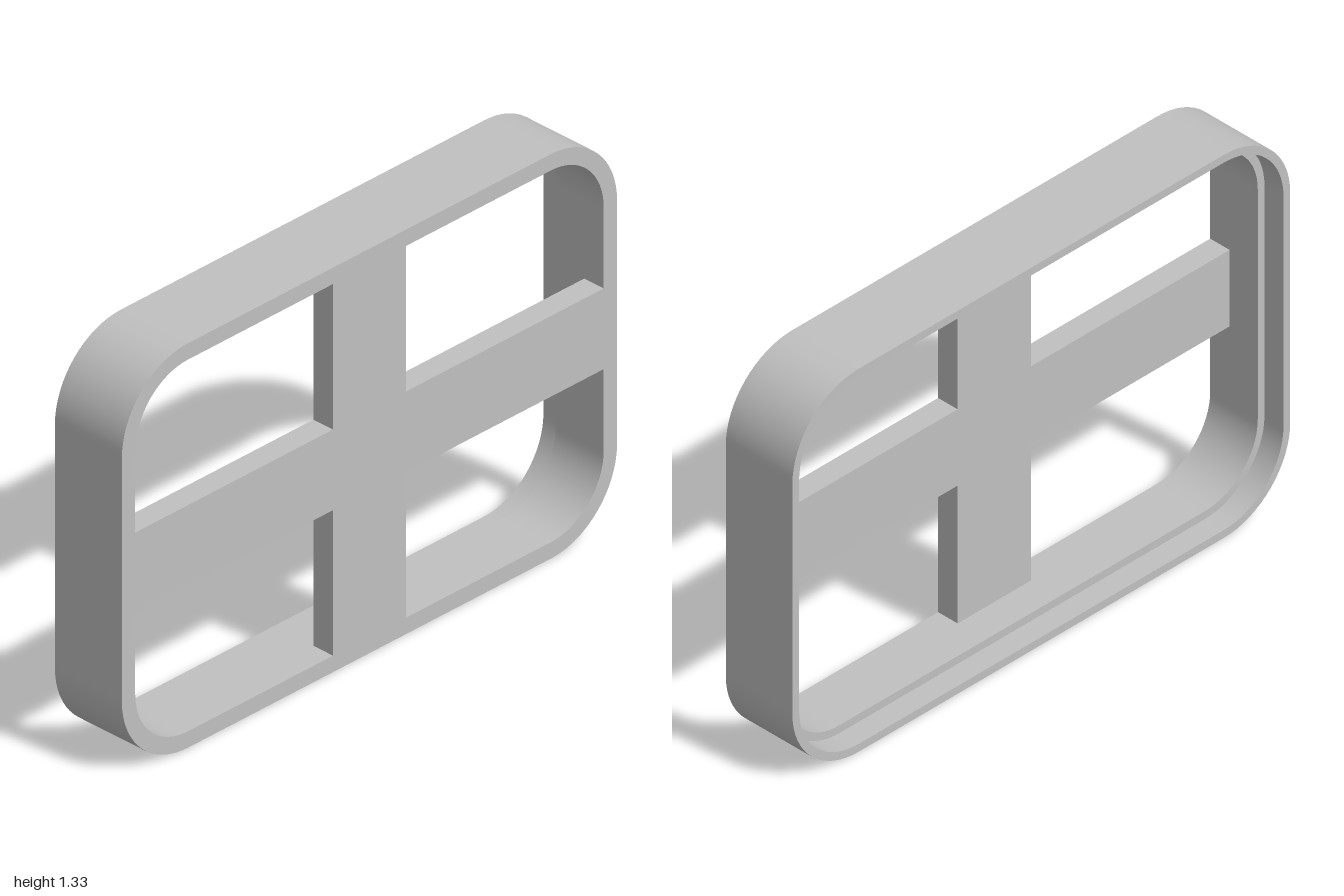
import * as THREE from 'three';

const DEPTH = 0.133;          // half depth along x
const MID = 0.667;            // centre height
const CZ = 0.733, CY = 0.4;   // corner arc centres, measured from the middle
const R_OUT = 0.267, R_LIP = 0.24, R_IN = 0.213;

// Sweeps a closed (x, radius) profile around a rounded rectangle
function sweepRim(profile, steps = 16) {
  const path = [];
  [[1, 1], [-1, 1], [-1, -1], [1, -1]].forEach(([sz, sy], q) => {
    for (let i = 0; i <= steps; i++) {
      const a = (q + i / steps) * Math.PI / 2;
      path.push({ z: sz * CZ, y: MID + sy * CY, c: Math.cos(a), s: Math.sin(a) });
    }
  });
  path.push(path[0]);

  const pos = [], nor = [], idx = [];
  profile.forEach(([x0, r0], k) => {
    const [x1, r1] = profile[(k + 1) % profile.length];
    const len = Math.hypot(x1 - x0, r1 - r0);
    const nx = -(r1 - r0) / len, nr = (x1 - x0) / len;
    const base = pos.length / 3;
    path.forEach((p, i) => {
      for (const [x, r] of [[x0, r0], [x1, r1]]) {
        pos.push(x, p.y + r * p.s, p.z + r * p.c);
        nor.push(nx, nr * p.s, nr * p.c);
      }
      if (i > 0) {
        const b = base + 2 * i;
        idx.push(b - 2, b - 1, b, b, b - 1, b + 1);
      }
    });
  });
  const g = new THREE.BufferGeometry();
  g.setAttribute('position', new THREE.Float32BufferAttribute(pos, 3));
  g.setAttribute('normal', new THREE.Float32BufferAttribute(nor, 3));
  // Fix the winding so every face agrees with its normals
  const v = (n) => new THREE.Vector3().fromArray(pos, n * 3);
  for (let i = 0; i < idx.length; i += 3) {
    const [a, b, c] = [v(idx[i]), v(idx[i + 1]), v(idx[i + 2])];
    const n = b.sub(a).cross(c.sub(a));
    if (n.dot(new THREE.Vector3().fromArray(nor, idx[i] * 3)) < 0) {
      [idx[i + 1], idx[i + 2]] = [idx[i + 2], idx[i + 1]];
    }
  }
  g.setIndex(idx);
  return g;
}

export function createModel() {
  const group = new THREE.Group();
  group.name = 'dividedFrame';
  const grey = new THREE.MeshStandardMaterial({ color: 0xc0c0c0 });
  grey.name = 'light grey';

  // Rim with a stepped lip on its open side
  const ledge = -DEPTH + 0.076;
  const rim = new THREE.Mesh(sweepRim([
    [-DEPTH, R_OUT], [DEPTH, R_OUT], [DEPTH, R_IN],
    [ledge, R_IN], [ledge, R_LIP], [-DEPTH, R_LIP],
  ]), grey);
  rim.name = 'rim';
  group.add(rim);

  // Cross bars, flush with the +x face of the rim
  const t = 0.078, w = 0.147, h = 0.133;
  const L = CZ + R_IN, H = CY + R_IN;
  const plus = new THREE.Shape([
    [w, h], [w, H], [-w, H], [-w, h], [-L, h], [-L, -h],
    [-w, -h], [-w, -H], [w, -H], [w, -h], [L, -h], [L, h],
  ].map(([a, b]) => new THREE.Vector2(a, b)));
  const cross = new THREE.Mesh(
    new THREE.ExtrudeGeometry(plus, { depth: t, bevelEnabled: false }), grey);
  cross.rotation.y = Math.PI / 2;
  cross.position.set(DEPTH - t, MID, 0);
  cross.name = 'crossBars';
  group.add(cross);

  return group;
}
